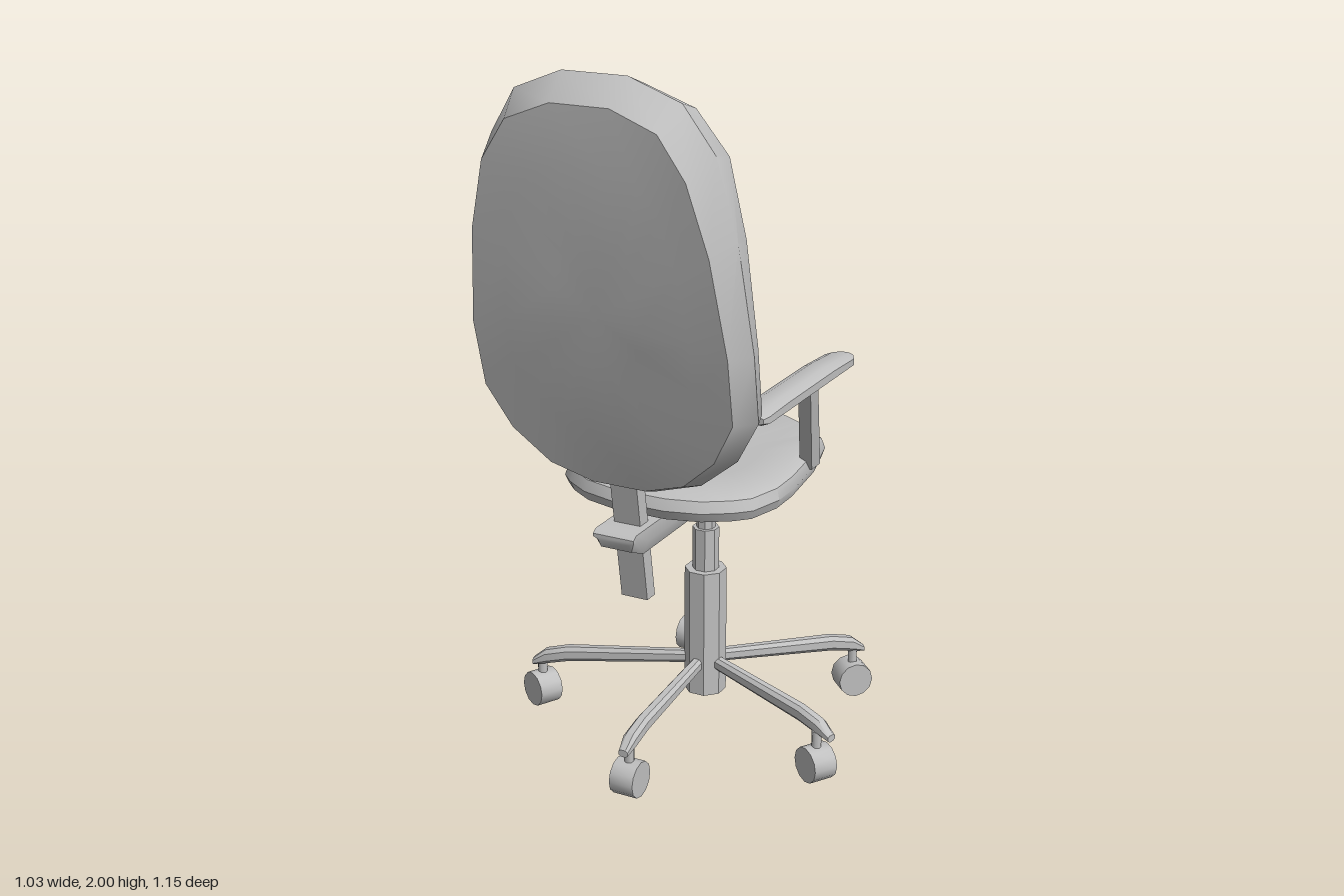
import * as THREE from 'three';
import { toCreasedNormals } from 'three/addons/utils/BufferGeometryUtils.js';

const CX = 0.035, CZ = -0.1; // axis of the gas column
const grey = new THREE.MeshStandardMaterial({ color: 0xc0c0c0 });
grey.name = 'light grey';

// Skin a closed solid over rings of [x, y, z] points, with fan caps at both ends
function loft(rings, crease = 0.6) {
  const n = rings[0].length, pos = [], idx = [];
  rings.forEach(r => r.forEach(p => pos.push(...p)));
  for (let i = 0; i < rings.length - 1; i++) {
    for (let j = 0; j < n; j++) {
      const a = i * n + j, b = i * n + (j + 1) % n;
      idx.push(a, b, b + n, a, b + n, a + n);
    }
  }
  [0, rings.length - 1].forEach(k => {
    const c = [0, 1, 2].map(d => rings[k].reduce((s, p) => s + p[d], 0) / n);
    const ci = pos.length / 3;
    pos.push(...c);
    for (let j = 0; j < n; j++) {
      const a = k * n + j, b = k * n + (j + 1) % n;
      if (k === 0) idx.push(ci, b, a); else idx.push(ci, a, b);
    }
  });
  // Turn the faces outward if the enclosed volume is negative
  const v = i => new THREE.Vector3(pos[i * 3], pos[i * 3 + 1], pos[i * 3 + 2]);
  let volume = 0;
  for (let i = 0; i < idx.length; i += 3) volume += v(idx[i]).dot(v(idx[i + 1]).cross(v(idx[i + 2])));
  if (volume < 0) idx.reverse();
  const g = new THREE.BufferGeometry();
  g.setAttribute('position', new THREE.Float32BufferAttribute(pos, 3));
  g.setIndex(idx);
  return toCreasedNormals(g, crease);
}

// Linear look-up in a table of [key, value] rows
function lookup(table, t) {
  if (t <= table[0][0]) return table[0][1];
  for (let i = 1; i < table.length; i++) {
    const [a, va] = table[i - 1], [b, vb] = table[i];
    if (t <= b) return va + (vb - va) * (t - a) / (b - a);
  }
  return table[table.length - 1][1];
}

// Mirror a half outline of [half width, along] into a closed loop
const mirror = half => [...half, ...half.slice().reverse().map(([x, t]) => [-x, t])];

// Rectangle in a horizontal plane
const flatRect = (x, y, z, w, d) =>
  [[-1, -1], [1, -1], [1, 1], [-1, 1]].map(([i, j]) => [x + i * w / 2, y, z + j * d / 2]);

// Eight-sided section with rounded corners, upright across z
const section = (z, y, w, h, x = 0) => mirror([[0.5, -1], [1, -0.5], [1, 0.5], [0.5, 1]])
  .map(([i, j]) => [x + i * w, y + j * h, z]);

export function createModel() {
  const group = new THREE.Group();
  const add = (name, geometry, parent = group) => {
    const m = new THREE.Mesh(geometry, grey);
    m.name = name;
    parent.add(m);
    return m;
  };

  // Backrest: a rounded panel leaning back, hollowed towards the sitter
  const rear = [[0.905, 0.39], [0.95, 0.41], [1.02, 0.43], [1.4, 0.515], [1.63, 0.545], [1.82, 0.57], [1.94, 0.57]];
  const front = [[0.91, 0.31], [0.96, 0.29], [1.065, 0.31], [1.21, 0.35], [1.4, 0.385], [1.66, 0.375],
    [1.82, 0.365], [1.94, 0.4], [2, 0.42]];
  const backOutline = mirror([[0.085, 0.905], [0.215, 0.945], [0.325, 1.035], [0.395, 1.155], [0.4, 1.34],
    [0.365, 1.62], [0.31, 1.825], [0.23, 1.945], [0.09, 2]]);
  const backRing = (sx, up, down, z) => backOutline.map(([x, y]) => {
    const yy = 1.4 + (y - 1.4) * (y > 1.4 ? up : down);
    return [CX + x * sx, yy, z(yy)];
  });
  const zr = y => lookup(rear, y), zf = y => lookup(front, y);
  add('backrest', loft([
    backRing(0.3, 0.3, 0.3, y => zr(y)),
    backRing(0.65, 0.65, 0.65, y => zr(y)),
    backRing(0.9, 0.89, 0.97, y => zr(y)),
    backRing(1, 1, 1, y => zr(y) * 0.5 + zf(y) * 0.5),
    backRing(0.95, 0.95, 0.98, y => zf(y)),
    backRing(0.65, 0.65, 0.65, y => zf(y) + 0.025),
    backRing(0.3, 0.3, 0.3, y => zf(y) + 0.035),
  ], 0.7));

  // Seat cushion: rounded pad, dished on top and drooping at its front edge
  const seatOutline = mirror([[0.075, -0.48], [0.175, -0.415], [0.26, -0.32], [0.29, -0.2], [0.313, 0],
    [0.313, 0.1], [0.285, 0.2], [0.245, 0.24], [0.175, 0.285], [0.08, 0.31]]);
  const seatRing = (s, y, droop) => seatOutline.map(([x, z]) => {
    const zz = -0.085 + (z + 0.085) * s;
    return [0.04 + x * s, y - droop * Math.max(0, (-0.3 - zz) / 0.18), zz];
  });
  add('seat', loft([
    seatRing(0.5, 0.785, 0), seatRing(0.85, 0.79, 0), seatRing(0.97, 0.808, 0), seatRing(1, 0.835, 0),
    seatRing(0.97, 0.865, 0.018), seatRing(0.88, 0.882, 0.012), seatRing(0.5, 0.868, 0),
  ], 0.7));

  // Tilt mechanism: long bar below the seat, with bevelled ends
  add('seatBar', loft([[-0.455, 0.79, 0.8], [-0.45, 0.772, 0.8], [-0.41, 0.722, 0.8], [0.35, 0.722, 0.8],
    [0.415, 0.75, 0.8], [0.43, 0.775, 0.79]].map(([z, low, high]) =>
    [[-0.045, low], [0.045, low], [0.06, (low + high) / 2], [0.06, high], [-0.06, high], [-0.06, (low + high) / 2]]
      .map(([x, y]) => [CX + x, y, z]))));

  // Flat strut that carries the backrest
  add('backStrut', loft([flatRect(CX, 0.575, 0.298, 0.078, 0.042), flatRect(CX, 1.0, 0.367, 0.078, 0.042)]));

  // Armrests: pad with tapered front tip, on a raked support
  [[-0.285, -0.252], [0.37, 0.325]].forEach(([x, foot], i) => {
    const side = i ? 'left' : 'right';
    add(side + 'ArmPad', loft([
      section(-0.28, 1.131, 0.024, 0.01, x), section(-0.24, 1.13, 0.043, 0.018, x),
      section(-0.1, 1.134, 0.045, 0.022, x), section(0.18, 1.134, 0.045, 0.022, x),
      section(0.3, 1.132, 0.044, 0.018, x), section(0.318, 1.132, 0.036, 0.012, x),
    ]));
    add(side + 'ArmSupport', loft([
      flatRect(foot, 0.84, -0.16, 0.036, 0.056), flatRect(x, 1.12, -0.033, 0.036, 0.05),
    ]));
  });

  // Telescopic column
  [['columnSleeve', 0.06, 0.12, 0.5], ['columnMiddle', 0.038, 0.48, 0.625], ['gasLift', 0.027, 0.6, 0.75]]
    .forEach(([name, r, y0, y1]) => {
      const c = add(name, toCreasedNormals(new THREE.CylinderGeometry(r, r, y1 - y0, 8), 0.6));
      c.position.set(CX, (y0 + y1) / 2, CZ);
      c.rotation.y = Math.PI / 8;
    });

  // Five legs: tip x, z, then wheel centre x, z and rolling direction x, z
  [
    [0.035, 0.39, 0.035, 0.355, 0, 1],
    [0.5, 0.05, 0.453, 0.045, 27, 17],
    [0.355, -0.515, 0.335, -0.487, 26, -25],
    [-0.235, -0.555, -0.222, -0.524, 0, 1],
    [-0.475, 0.02, -0.455, 0.003, 29, 15],
  ].forEach(([tx, tz, wx, wz, dx, dz], i) => {
    const len = Math.hypot(tx - CX, tz - CZ);
    const leg = add('baseLeg' + (i + 1), loft([
      section(0.02, 0.218, 0.016, 0.018), section(len - 0.11, 0.178, 0.019, 0.023),
      section(len - 0.04, 0.161, 0.02, 0.022), section(len, 0.14, 0.014, 0.01),
    ]));
    leg.position.set(CX, 0, CZ);
    leg.rotation.y = Math.atan2(tx - CX, tz - CZ);

    // Caster wheel on a short stem
    const caster = new THREE.Group();
    caster.name = 'caster' + (i + 1);
    caster.position.set(wx, 0, wz);
    caster.rotation.y = Math.atan2(dx, dz);
    group.add(caster);
    const wheel = add('casterWheel', toCreasedNormals(new THREE.CylinderGeometry(0.052, 0.052, 0.072, 12), 0.6), caster);
    wheel.rotation.z = Math.PI / 2;
    wheel.position.y = 0.0525;
    add('casterStem', new THREE.CylinderGeometry(0.014, 0.014, 0.06, 8), caster).position.y = 0.12;
  });

  return group;
}
